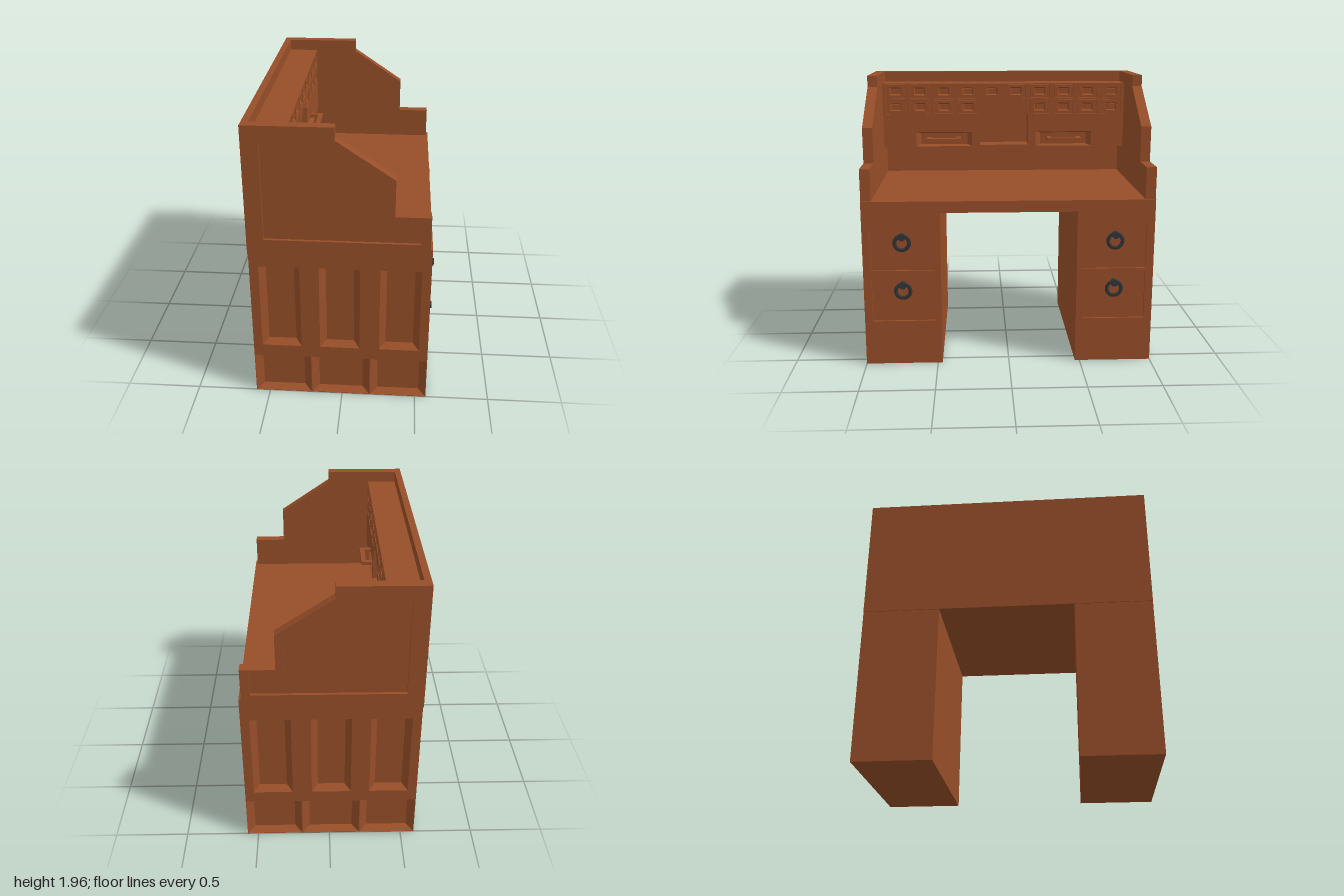
import * as THREE from 'three';

const wood = new THREE.MeshStandardMaterial({ color: 0x964e28, side: THREE.DoubleSide, flatShading: true });
const iron = new THREE.MeshStandardMaterial({ color: 0x303437 });

function add(parent, name, geometry, material = wood) {
  const mesh = new THREE.Mesh(geometry, material);
  mesh.name = name;
  parent.add(mesh);
  return mesh;
}

// Box given by its limits on each axis
function box(parent, name, x0, x1, y0, y1, z0, z1) {
  const mesh = add(parent, name, new THREE.BoxGeometry(x1 - x0, y1 - y0, z1 - z0));
  mesh.position.set((x0 + x1) / 2, (y0 + y1) / 2, (z0 + z1) / 2);
  return mesh;
}

const rect = (x0, x1, y0, y1) => [[x0, y0], [x1, y0], [x1, y1], [x0, y1]];
const points = (list) => list.map(([x, y]) => new THREE.Vector2(x, y));

// Board cut from an outline with holes, spanning z0 to z1
function board(parent, name, outline, holes, z0, z1) {
  const shape = new THREE.Shape(points(outline));
  holes.forEach((h) => shape.holes.push(new THREE.Path(points(h))));
  const geometry = new THREE.ExtrudeGeometry(shape, { depth: z1 - z0, bevelEnabled: false });
  geometry.translate(0, 0, z0);
  return add(parent, name, geometry);
}

// Sunken panel with sloping sides, opening at z and going back by depth
function pocket(parent, name, [x0, x1, y0, y1], bx, by, z, depth) {
  const outer = rect(x0, x1, y0, y1).map(([x, y]) => [x, y, z]);
  const inner = rect(x0 + bx, x1 - bx, y0 + by, y1 - by).map(([x, y]) => [x, y, z - depth]);
  const position = [];
  const quad = (a, b, c, d) => position.push(...a, ...b, ...c, ...a, ...c, ...d);
  for (let i = 0; i < 4; i++) {
    const j = (i + 1) % 4;
    quad(outer[i], outer[j], inner[j], inner[i]);
  }
  quad(...inner);
  const geometry = new THREE.BufferGeometry();
  geometry.setAttribute('position', new THREE.Float32BufferAttribute(position, 3));
  geometry.computeVertexNormals();
  return add(parent, name, geometry);
}

// Ring pull hanging from a round knob, facing local +z
function ringPull(parent, x, y, z) {
  const pull = new THREE.Group();
  pull.name = 'ringPull';
  pull.position.set(x, y, z);
  const ring = add(pull, 'ring', new THREE.TorusGeometry(0.05, 0.013, 8, 24), iron);
  ring.scale.z = 0.7;
  const knob = add(pull, 'knob', new THREE.CylinderGeometry(0.025, 0.025, 0.045, 12), iron);
  knob.rotation.x = Math.PI / 2;
  knob.position.set(0, 0.042, -0.003);
  parent.add(pull);
}

// Group whose local +z points along the desk's +x, and local x along -z
function facingUser(parent, name) {
  const group = new THREE.Group();
  group.name = name;
  group.rotation.y = Math.PI / 2;
  parent.add(group);
  return group;
}

// One end of the desk: pedestal, drawers, panels and stepped side
function createEnd() {
  const end = new THREE.Group();
  box(end, 'pedestalCore', -0.595, 0.56, 0, 1.085, 0.468, 0.95);

  // Panelled outer face
  const tall = [-0.535, -0.145, 0.25].map((x) => [x, x + 0.265, 0.385, 1.0]);
  const low = [[-0.592, -0.212], [-0.206, 0.187], [0.193, 0.572]].map(([a, b]) => [a, b, 0.003, 0.3]);
  board(end, 'pedestalSide', rect(-0.595, 0.575, 0, 1.085),
    [...tall, ...low].map((r) => rect(...r)), 0.95, 1);
  tall.forEach((r) => pocket(end, 'tallPanel', r, 0.041, 0.03, 1, 0.049));
  low.forEach((r) => pocket(end, 'lowPanel', r, 0.048, 0.026, 1, 0.049));

  // Inset drawer fronts
  const front = facingUser(end, 'pedestalFront');
  const drawers = [[-0.945, -0.513, 0.68, 0.985], [-0.945, -0.513, 0.315, 0.65]];
  board(front, 'drawerFrame', rect(-0.95, -0.468, 0, 1.085), drawers.map((r) => rect(...r)), 0.56, 0.575);
  [0.878, 0.535].forEach((y) => ringPull(front, -0.73, y, 0.577));

  // Stepped side with a sunken field
  const profile = [[-0.595, 1.085], [-0.595, 1.165], [0.56, 1.165], [0.56, 1.385], [0.335, 1.385],
    [0.335, 1.63], [-0.035, 1.88], [-0.035, 1.96], [-0.6, 1.96], [-0.6, 1.085]];
  const field = [[-0.49, 1.195], [0.5, 1.195], [0.5, 1.372], [0.28, 1.372], [0.28, 1.58],
    [-0.095, 1.78], [-0.095, 1.845], [-0.49, 1.845]];
  board(end, 'steppedSide', profile, [], 0.93, 0.98);
  board(end, 'steppedSideFrame', profile, [field], 0.98, 1);
  return end;
}

// Raised cabinet with small drawers, two trays and a pointed niche
function createCabinet(parent) {
  const cabinet = facingUser(parent, 'cabinet');
  const outline = rect(-0.93, 0.93, 1.39, 1.88);
  const niche = [[-0.187, 1.405], [0.187, 1.405], [0.187, 1.64], [0, 1.715], [-0.187, 1.64]];
  const small = [];
  for (let i = 0; i < 10; i++) {
    const x = -0.833 + i * 0.185;
    small.push([x, 1.82]);
    if (Math.abs(x) > 0.2) small.push([x, 1.7]);
  }
  const trays = [-0.464, 0.464].map((x) => [x - 0.216, x + 0.216, 1.396, 1.508]);
  const holes = small.map(([x, y]) => rect(x - 0.074, x + 0.074, y - 0.053, y + 0.053));

  board(cabinet, 'cabinetBack', outline, [], -0.555, -0.5);
  board(cabinet, 'cabinetBody', outline, [niche], -0.5, -0.38);
  board(cabinet, 'cabinetFront', outline, [niche, ...holes, ...trays.map((r) => rect(...r))], -0.38, -0.345);

  // Small drawers with a sunken grip
  small.forEach(([x, y]) => {
    const grip = [x - 0.042, x + 0.042, y - 0.03, y + 0.03];
    board(cabinet, 'smallDrawer', rect(x - 0.072, x + 0.072, y - 0.051, y + 0.051), [rect(...grip)], -0.38, -0.35);
    pocket(cabinet, 'gripRecess', grip, 0.008, 0.008, -0.35, 0.02);
    board(cabinet, 'grip', [[x - 0.033, y - 0.02], [x - 0.02, y - 0.008], [x + 0.02, y - 0.008],
      [x + 0.033, y - 0.02], [x + 0.033, y + 0.018], [x - 0.033, y + 0.018]], [], -0.37, -0.358);
  });

  // Wide trays with a square bar handle
  trays.forEach((r) => {
    pocket(cabinet, 'trayRecess', r, 0.036, 0.012, -0.345, 0.034);
    const x = (r[0] + r[1]) / 2;
    box(cabinet, 'trayBar', x - 0.13, x + 0.13, 1.44, 1.465, -0.305, -0.27);
    [-1, 1].forEach((s) => box(cabinet, 'trayBarPost', x + s * 0.112 - 0.018, x + s * 0.112 + 0.018,
      1.44, 1.465, -0.38, -0.305));
  });
}

export function createModel() {
  const desk = new THREE.Group();
  desk.name = 'desk';
  box(desk, 'deskTop', -0.595, 0.575, 1.085, 1.165, -1, 1);
  box(desk, 'backWall', -0.6, -0.555, 1.085, 1.96, -0.93, 0.93);
  createCabinet(desk);
  [1, -1].forEach((s) => {
    const end = createEnd();
    end.name = s > 0 ? 'nearEnd' : 'farEnd';
    end.scale.z = s;
    desk.add(end);
  });
  return desk;
}
